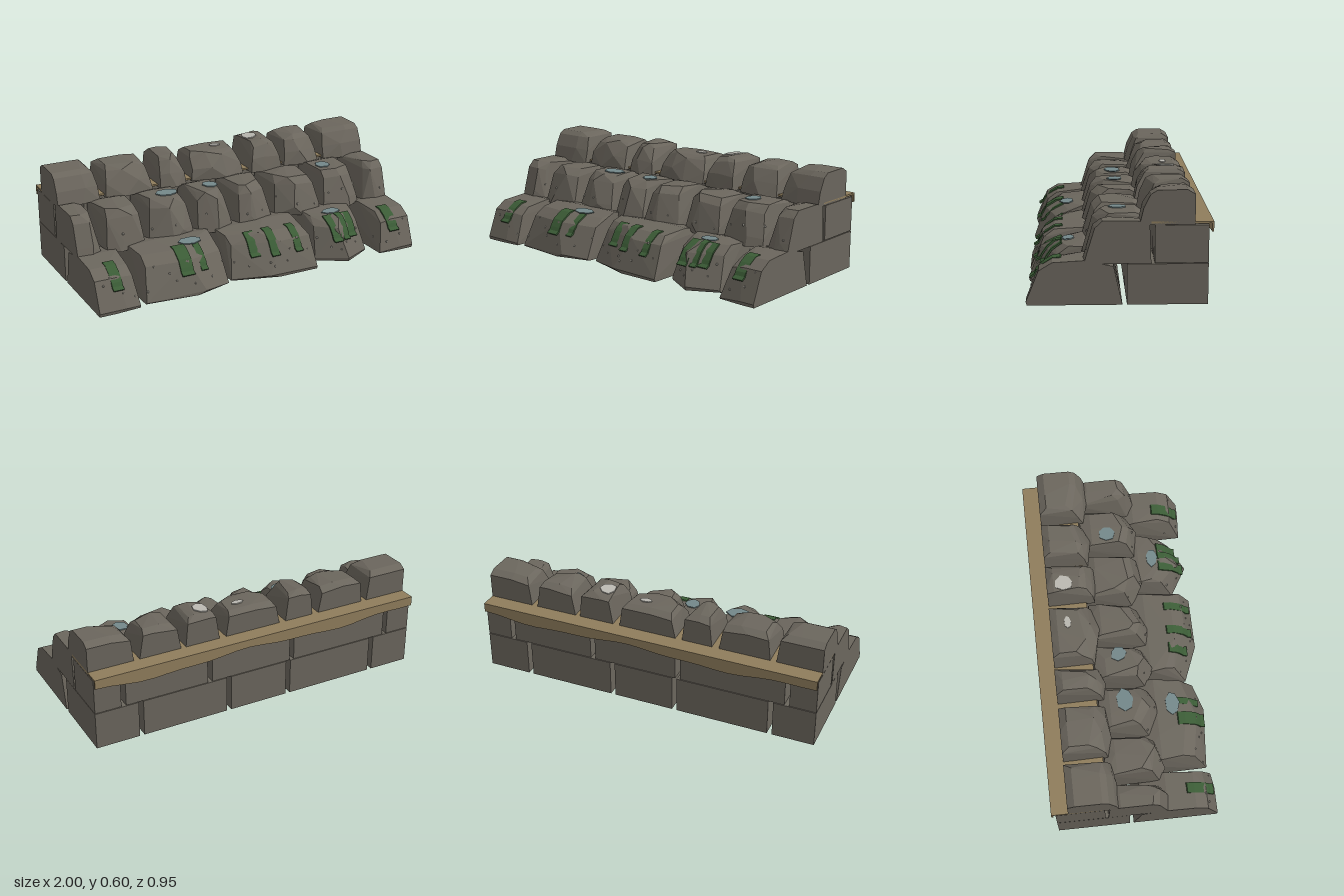
import * as THREE from 'three';
import { ConvexGeometry } from 'three/addons/geometries/ConvexGeometry.js';

const mat = (name, color, flatShading = false) =>
  Object.assign(new THREE.MeshStandardMaterial({ color, flatShading }), { name });

export function createModel() {
  const model = new THREE.Group();
  model.name = 'stoneSeaWall';
  const rock = mat('rock grey', 0x6b665d, true);
  const wood = mat('weathered wood', 0x8f7d5c);
  const weed = mat('seaweed green', 0x3b5c36);
  const pool = mat('pool blue', 0x74888a);
  const lime = mat('pale lime', 0xb9b7b0);
  const shell = mat('barnacle grey', 0x9c9990);

  let seed = 11;
  const rnd = () => (seed = (seed * 16807) % 2147483647) / 2147483647;
  const jit = (a) => (rnd() - 0.5) * 2 * a;

  const add = (parent, name, geo, material) => {
    const m = new THREE.Mesh(geo, material);
    m.name = name;
    parent.add(m);
    return m;
  };
  const subgroup = (name) => {
    const g = new THREE.Group();
    g.name = name;
    model.add(g);
    return g;
  };

  // Faceted boulder: a side profile of [z, y, inset] swept across x. Front
  // points are pushed back by cutL and cutR at the two ends, so the middle bulges.
  const rocks = [];
  const boulder = (parent, name, profile, x0, x1, cutL, cutR, h = 1) => {
    const pts = [];
    const [backZ, baseY] = profile[0];
    profile.forEach(([z, y, inset], i) => {
      const front = i > 0 && i < 5;
      const top = baseY + (y - baseY) * h;
      for (const [x, dir, cut] of [[x0, 1, cutL], [x1, -1, cutR]]) {
        const k = Math.abs(x) === 1 || i < 2 ? 0 : 1;
        pts.push(new THREE.Vector3(
          x + (Math.abs(x) === 1 ? 0 : dir * inset * (0.7 + rnd() * 0.7)),
          top - k * rnd() * 0.016,
          Math.max(backZ, z - (front ? cut + k * jit(0.012) : 0))));
      }
      pts.push(new THREE.Vector3(x0 + (x1 - x0) * (0.5 + jit(0.2)), top, z));
    });
    rocks.push(add(parent, name, new ConvexGeometry(pts), rock));
  };

  // Lower course: x from, x to, end cuts, height factor
  const lower = subgroup('lowerBoulders');
  const lowerProfile = [[-0.025, 0, 0], [0.46, 0, 0.006], [0.465, 0.02, 0.008], [0.4, 0.19, 0.03],
    [0.33, 0.235, 0.035], [0.17, 0.245, 0.02], [0.02, 0.212, 0.006]];
  for (const s of [[-1, -0.755, 0, 0.01, 0.95], [-0.73, -0.205, 0.03, 0.06], [-0.185, 0.345, 0.08, 0],
    [0.375, 0.73, 0.1, 0.09], [0.77, 1, 0.01, 0, 0.95]]) boulder(lower, 'lowerBoulder', lowerProfile, ...s);

  // Middle course, set out from its joints
  const middle = subgroup('middleBoulders');
  const middleProfile = [[-0.17, 0.215, 0], [0.18, 0.215, 0.005], [0.165, 0.27, 0.01], [0.125, 0.4, 0.03],
    [0.085, 0.437, 0.04], [-0.1, 0.436, 0.03], [-0.162, 0.415, 0.012]];
  const joints = [-1, -0.835, -0.57, -0.27, -0.025, 0.24, 0.55, 0.835, 1];
  for (let i = 0; i < 8; i++) {
    const a = joints[i] + (i ? 0.011 : 0);
    const b = joints[i + 1] - (i < 7 ? 0.011 : 0);
    boulder(middle, 'middleBoulder', middleProfile, a, b, i ? rnd() * 0.08 : 0.01, i < 7 ? rnd() * 0.07 : 0.01,
      i % 7 ? 0.98 : 1);
  }

  // Crest course
  const crest = subgroup('crestBoulders');
  const crestProfile = [[-0.39, 0.415, 0], [-0.11, 0.415, 0.004], [-0.13, 0.5, 0.012], [-0.165, 0.57, 0.03],
    [-0.2, 0.592, 0.045], [-0.35, 0.594, 0.035], [-0.39, 0.57, 0.02]];
  for (const s of [[-1, -0.74, 0, 0.02], [-0.71, -0.41, 0.03, 0.02, 0.93], [-0.375, -0.195, 0.02, 0.03],
    [-0.16, 0.185, 0.05, 0.04, 0.86], [0.22, 0.43, 0.01, 0], [0.455, 0.705, 0.03, 0.04, 0.97],
    [0.735, 1, 0.03, 0]]) boulder(crest, 'crestBoulder', crestProfile, ...s);

  // Squared backing blocks behind the two lower courses
  const backing = subgroup('backingBlocks');
  const blockRow = (y0, y1, zf, seams) => {
    for (let i = 0; i < seams.length - 1; i++) {
      const a = seams[i] + (i ? 0.014 : 0);
      const b = seams[i + 1] - (i < seams.length - 2 ? 0.014 : 0);
      const box = add(backing, 'backingBlock', new THREE.BoxGeometry(b - a, y1 - y0, zf + 0.46), rock);
      box.position.set((a + b) / 2, (y0 + y1) / 2, (zf - 0.46) / 2);
    }
  };
  blockRow(0, 0.213, -0.048, [-1, -0.745, -0.18, 0.2, 0.735, 1]);
  blockRow(0.217, 0.413, -0.188, [-1, -0.835, -0.2, 0.32, 0.835, 1]);

  // Wooden ledge with a wavy rear lip
  const ledge = subgroup('woodenLedge');
  add(ledge, 'plank', new THREE.BoxGeometry(2, 0.01, 0.31), wood).position.set(0, 0.426, -0.325);
  const lip = new THREE.Shape();
  lip.moveTo(-1, 0.431);
  for (let i = 0; i <= 24; i++) {
    const x = -1 + i / 12;
    lip.lineTo(x, 0.367 + 0.013 * Math.sin(x * 6 + 1) + 0.005 * Math.sin(x * 15));
  }
  lip.lineTo(1, 0.431);
  add(ledge, 'rearLip', new THREE.ExtrudeGeometry(lip, { depth: 0.01, bevelEnabled: false }), wood).position.z = -0.484;

  // Surface lookups on the boulders
  const ray = new THREE.Raycaster();
  const UP = new THREE.Vector3(0, 1, 0);
  const DOWN = new THREE.Vector3(0, -1, 0);
  const BACK = new THREE.Vector3(0, 0, -1);
  const cast = (x, y, z, dir) => {
    ray.set(new THREE.Vector3(x, y, z), dir);
    return ray.intersectObjects(rocks)[0];
  };
  const stick = (mesh, hit) => {
    mesh.position.copy(hit.point);
    mesh.quaternion.setFromUnitVectors(UP, hit.face.normal);
  };

  // Seaweed ribbons draped over the lower boulders: x, width
  const weeds = subgroup('seaweed');
  for (const [x, w] of [[-0.88, 0.06], [-0.47, 0.075], [-0.36, 0.04], [-0.03, 0.06], [0.08, 0.05], [0.23, 0.045],
    [0.5, 0.06], [0.565, 0.04], [0.61, 0.07], [0.88, 0.065]]) {
    const line = [];
    for (const z of [0.29, 0.33]) line.push([z, (cast(x, 1, z, DOWN)?.point.y ?? 0.23) + 0.006]);
    for (const y of [0.2, 0.16]) line.push([(cast(x, y, 1, BACK)?.point.z ?? 0.4) + 0.008, y]);
    const tip = line[3][0] + 0.01;
    line.push([tip, 0.14], [tip + 0.022, 0.127]);
    const shape = new THREE.Shape();
    line.forEach(([z, y], i) => (i ? shape.lineTo(z, y) : shape.moveTo(z, y)));
    line.reverse().forEach(([z, y]) => shape.lineTo(z - 0.006, y - 0.007));
    const geo = new THREE.ExtrudeGeometry(shape, { depth: w, bevelEnabled: false });
    geo.rotateY(-Math.PI / 2);
    add(weeds, 'seaweedRibbon', geo, weed).position.x = x + w / 2;
  }

  // Thin irregular patches laid on the boulder tops
  const patch = (parent, name, material, x, z, w, d) => {
    const hit = cast(x, 1, z, DOWN);
    if (!hit) return;
    const shape = new THREE.Shape();
    for (let i = 0; i < 7; i++) {
      const a = (i / 7) * Math.PI * 2 + 0.3;
      const r = 0.85 + rnd() * 0.25;
      shape[i ? 'lineTo' : 'moveTo'](Math.cos(a) * r * w / 2, Math.sin(a) * r * d / 2);
    }
    const geo = new THREE.ExtrudeGeometry(shape, { depth: 0.006, bevelEnabled: false });
    geo.rotateX(-Math.PI / 2);
    stick(add(parent, name, geo, material), hit);
  };
  const pools = subgroup('pools');
  for (const p of [[-0.39, -0.01, 0.14, 0.1], [-0.11, -0.02, 0.09, 0.09], [0.65, -0.01, 0.09, 0.09],
    [-0.38, 0.265, 0.14, 0.08], [0.55, 0.25, 0.12, 0.07]]) patch(pools, 'pool', pool, ...p);
  const stains = subgroup('limeStains');
  patch(stains, 'limeStain', lime, 0.06, -0.29, 0.08, 0.04);
  patch(stains, 'limeStain', lime, 0.295, -0.29, 0.09, 0.11);

  // Barnacles scattered over the boulder fronts: count, lowest y, height of band
  const barnacles = subgroup('barnacles');
  const cone = new THREE.CylinderGeometry(0.004, 0.009, 0.01, 6);
  for (const [count, y, band] of [[36, 0.05, 0.14], [18, 0.26, 0.07]]) {
    for (let i = 0; i < count; i++) {
      const hit = cast(-0.96 + (1.92 * (i + jit(0.4))) / (count - 1), y + rnd() * band, 1, BACK);
      if (!hit) continue;
      const m = add(barnacles, 'barnacle', cone, shell);
      stick(m, hit);
      m.scale.setScalar(0.7 + rnd() * 0.5);
    }
  }
  return model;
}
